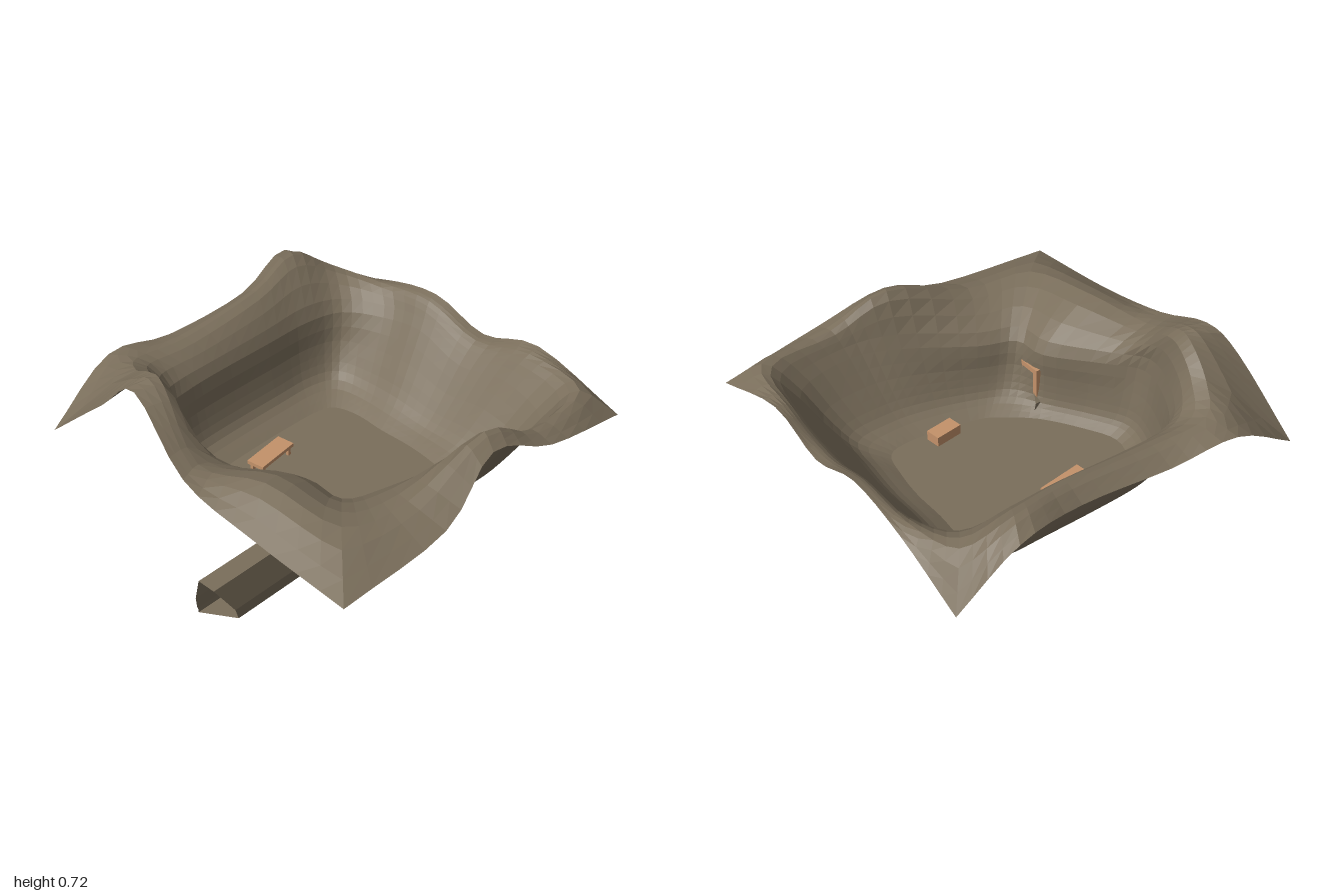
import * as THREE from 'three';

const earth = new THREE.MeshStandardMaterial({ color: 0x7a6e5b, flatShading: true, side: THREE.DoubleSide });
const wood = new THREE.MeshStandardMaterial({ color: 0xc4926a, flatShading: true });

// Upper land around the basin: outer edge x,y,z | crest x,y,z
const UPPER = [
  [-0.79, 0.30, -0.87, -0.49, 0.61, -0.60],
  [-0.43, 0.52, -0.90, -0.38, 0.55, -0.74],
  [-0.10, 0.49, -0.86, -0.10, 0.53, -0.73],
  [0.35, 0.52, -0.84, 0.35, 0.57, -0.74],
  [0.72, 0.57, -0.92, 0.66, 0.61, -0.80],
  [0.99, 0.31, -0.87, 0.86, 0.50, -0.72],
  [0.99, 0.46, -0.50, 0.93, 0.48, -0.47],
  [0.99, 0.52, -0.17, 0.94, 0.50, -0.17],
  [0.99, 0.43, 0.13, 0.93, 0.42, 0.13],
  [0.99, 0.51, 0.45, 0.93, 0.49, 0.44],
  [0.99, 0.36, 0.91, 0.86, 0.49, 0.77],
  [0.50, 0.46, 0.91, 0.49, 0.49, 0.80],
  [0.17, 0.57, 0.85, 0.21, 0.61, 0.76],
  [-0.20, 0.41, 0.92, -0.22, 0.47, 0.72],
  [-0.79, 0.37, 0.91, -0.52, 0.48, 0.64],
  [-0.79, 0.42, 0.40, -0.58, 0.53, 0.28],
  [-0.79, 0.50, 0.00, -0.67, 0.50, -0.03],
  [-0.70, 0.70, -0.39, -0.57, 0.69, -0.34],
  [-0.76, 0.59, -0.54, -0.54, 0.69, -0.46],
];
// Lower wall on the same spokes: shoulder x,y,z | floor edge x,z | roundness of the foot
const LOWER = [
  [-0.38, 0.43, -0.55, -0.30, -0.38, 0.7],
  [-0.26, 0.42, -0.59, -0.22, -0.40, 0.75],
  [-0.05, 0.42, -0.60, 0.00, -0.41, 0.75],
  [0.28, 0.42, -0.60, 0.25, -0.41, 0.75],
  [0.54, 0.42, -0.60, 0.42, -0.40, 0.75],
  [0.75, 0.40, -0.56, 0.50, -0.36, 0.5],
  [0.86, 0.40, -0.38, 0.53, -0.24, 0.1],
  [0.88, 0.42, -0.15, 0.52, -0.08, 0],
  [0.86, 0.35, 0.12, 0.52, 0.10, 0],
  [0.86, 0.40, 0.40, 0.50, 0.26, 0],
  [0.76, 0.38, 0.69, 0.46, 0.40, 0.2],
  [0.46, 0.40, 0.74, 0.34, 0.43, 0.1],
  [0.22, 0.40, 0.66, 0.17, 0.41, 0.3],
  [-0.11, 0.35, 0.51, -0.01, 0.37, 0.6],
  [-0.29, 0.35, 0.43, -0.10, 0.32, 0.5],
  [-0.31, 0.36, 0.25, -0.24, 0.20, 0.9],
  [-0.48, 0.38, 0.00, -0.36, 0.02, 0.6],
  [-0.56, 0.41, -0.18, -0.43, -0.14, 0.5],
  [-0.48, 0.44, -0.40, -0.38, -0.29, 0.6],
];
const CORNERS = [0, 5, 10, 14];
const FLOOR_Y = 0.01, SUB = 4, RINGS = 16;

function spline(a, b, c, d, t) {
  return b + 0.5 * t * (c - a + t * (2 * a - 5 * b + 4 * c - d + t * (3 * (b - c) + d - a)));
}

// Smooth values between two spokes; the outer edge keeps its four sharp corners
function between(table, i, t, sharp) {
  const n = table.length, next = (i + 1) % n;
  const [a, b, c, d] = [-1, 0, 1, 2].map(k => table[(i + k + n) % n]);
  return b.map((v, k) => {
    const edge = sharp && k < 3;
    const before = edge && CORNERS.includes(i) ? 2 * v - c[k] : a[k];
    const after = edge && CORNERS.includes(next) ? 2 * c[k] - v : d[k];
    return spline(before, v, c[k], after, t);
  });
}

// Section from floor centre, up the wall, over the crest and down to the edge
function section(i, t) {
  const [ex, ey, ez, cx, cy, cz] = between(UPPER, i, t, true);
  const [sx, sy, sz, fx, fz, round] = between(LOWER, i, t, false);
  const wall = (out, up) => new THREE.Vector3(
    fx + (sx - fx) * out, FLOOR_Y + (sy - FLOOR_Y) * up, fz + (sz - fz) * out);
  const curve = new THREE.CatmullRomCurve3([
    wall(0, 0),
    wall(0.32 + 0.33 * round, 0.17),
    wall(0.60 + 0.28 * round, 0.48),
    wall(1, 1),
    new THREE.Vector3(cx, cy, cz),
    new THREE.Vector3(ex, ey, ez),
  ]);
  return [new THREE.Vector3(0.05, FLOOR_Y, 0), ...curve.getPoints(RINGS)];
}

// Joins equal-length rows of points into a closed surface
function loft(rows) {
  const m = rows[0].length, pos = [], idx = [];
  rows.forEach(r => r.forEach(p => pos.push(p.x, p.y, p.z)));
  for (let i = 0; i < rows.length; i++) {
    for (let j = 0; j < m - 1; j++) {
      const a = i * m + j, b = ((i + 1) % rows.length) * m + j;
      idx.push(a, a + 1, b + 1, a, b + 1, b);
    }
  }
  const g = new THREE.BufferGeometry();
  g.setAttribute('position', new THREE.Float32BufferAttribute(pos, 3));
  g.setIndex(idx);
  g.computeVertexNormals();
  return g;
}

function add(parent, name, geometry, material, x = 0, y = 0, z = 0) {
  const mesh = new THREE.Mesh(geometry, material);
  mesh.name = name;
  mesh.position.set(x, y, z);
  parent.add(mesh);
  return mesh;
}

export function createModel() {
  const model = new THREE.Group();
  model.name = 'valley';

  // Basin with its wavy rim
  const rows = [];
  for (let i = 0; i < UPPER.length; i++)
    for (let k = 0; k < SUB; k++) rows.push(section(i, k / SUB));
  add(model, 'basin', loft(rows), earth);

  // Open tunnel with a ledge along the back: z, y, left end x, right end x
  const tunnel = [
    [0.285, 0.245, -0.98, -0.29], [0.375, 0.245, -0.98, -0.29], [0.40, 0.10, -0.89, -0.25],
    [0.385, 0.025, -0.86, -0.20], [0.24, 0.025, -0.95, -0.24], [0.24, 0.07, -0.955, -0.25],
    [0.28, 0.10, -0.99, -0.27], [0.285, 0.165, -1.00, -0.28],
  ].map(([z, y, x0, x1]) => [new THREE.Vector3(x0, y, z), new THREE.Vector3(x1, y, z)]);
  add(model, 'tunnel', loft(tunnel), earth);

  // Timber frame in the tunnel
  const frame = new THREE.Group();
  frame.name = 'tunnelFrame';
  for (const z of [0.275, 0.378])
    add(frame, 'framePost', new THREE.BoxGeometry(0.03, 0.235, 0.025), wood, -0.285, 0.1205, z);
  add(frame, 'frameLintel', new THREE.BoxGeometry(0.03, 0.025, 0.1), wood, -0.285, 0.225, 0.327);
  model.add(frame);

  // Bench on the valley floor
  const bench = new THREE.Group();
  bench.name = 'bench';
  add(bench, 'seat', new THREE.BoxGeometry(0.23, 0.018, 0.09), wood, 0, 0.061, 0);
  for (const x of [-0.095, 0.095])
    for (const z of [-0.03, 0.03])
      add(bench, 'leg', new THREE.BoxGeometry(0.016, 0.052, 0.016), wood, x, 0.026, z);
  bench.position.set(-0.02, 0, -0.28);
  bench.rotation.y = 0.13;
  model.add(bench);

  // Small crate
  const crate = add(model, 'crate', new THREE.BoxGeometry(0.14, 0.06, 0.075), wood, 0.19, 0.03, 0.365);
  crate.rotation.y = 0.13;

  return model;
}
